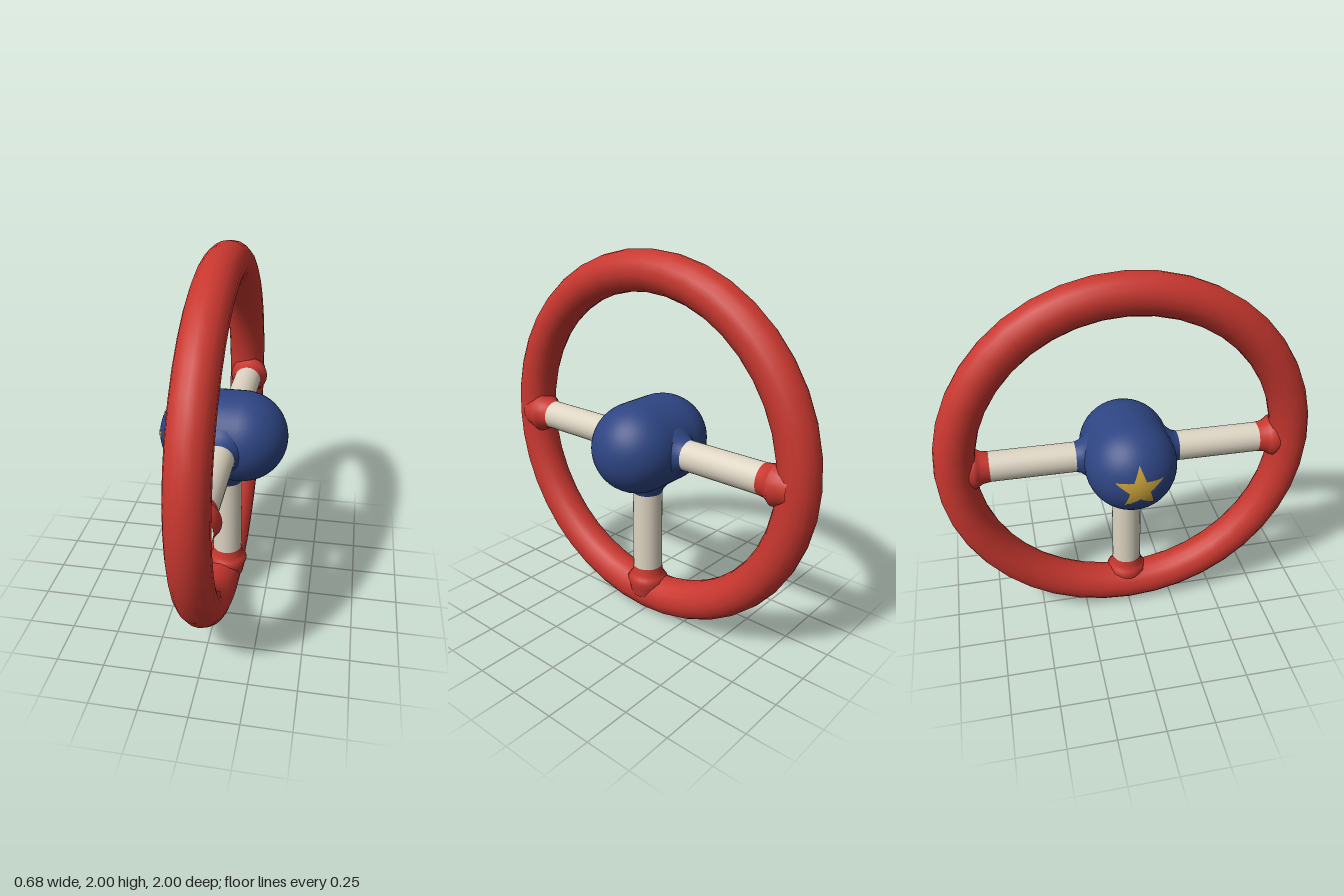
import * as THREE from 'three';

const material = (name, color) => {
  const m = new THREE.MeshStandardMaterial({ color });
  m.name = name;
  return m;
};

export function createModel() {
  const red = material('red', 0xc8372f);
  const blue = material('blue', 0x2e4583);
  const cream = material('cream', 0xddd4c2);
  const gold = material('gold', 0xc9a13a);
  const model = new THREE.Group();
  model.name = 'steeringWheel';

  const add = (parent, name, geometry, mat) => {
    const mesh = new THREE.Mesh(geometry, mat);
    mesh.name = name;
    parent.add(mesh);
    return mesh;
  };

  // Round rim standing in the yz plane
  const rim = add(model, 'rim', new THREE.TorusGeometry(0.895, 0.105, 18, 40).rotateY(Math.PI / 2), red);
  rim.position.set(-0.005, 1, 0);

  // Rounded hub lying along x
  const hub = add(model, 'hub', new THREE.CapsuleGeometry(0.24, 0.2, 14, 40).rotateZ(Math.PI / 2), blue);
  hub.position.y = 1.003;

  // Profiles are [distance from hub centre, radius], outermost point first
  const lathe = (profile) =>
    new THREE.LatheGeometry(profile.map(([d, r]) => new THREE.Vector2(r, -d)), 24);
  const neck = lathe([[0.275, 0.08], [0.25, 0.088], [0.225, 0.108], [0.2, 0.132], [0.17, 0.15]]);
  const bar = lathe([[0.72, 0.08], [0.275, 0.08]]);
  const joint = lathe([[0.89, 0.09], [0.84, 0.1], [0.8, 0.112], [0.78, 0.097], [0.76, 0.086], [0.72, 0.08]]);

  // Three spokes: down, front and back
  const spokes = { lowerSpoke: 0, frontSpoke: -Math.PI / 2, rearSpoke: Math.PI / 2 };
  for (const [name, angle] of Object.entries(spokes)) {
    const spoke = new THREE.Group();
    spoke.name = name;
    add(spoke, 'hubNeck', neck, blue);
    add(spoke, 'spokeBar', bar, cream);
    add(spoke, 'rimJoint', joint, red);
    spoke.position.set(0.02, 1.003, 0);
    spoke.rotation.x = angle;
    model.add(spoke);
  }

  // Five-pointed star wrapped over the hub's -x end
  const star = new THREE.RingGeometry(0.001, 1, 40, 6);
  const corner = (i) => {
    const a = Math.PI / 2 + (i * Math.PI) / 5;
    const r = i % 2 ? 0.055 : 0.13;
    return new THREE.Vector2(Math.cos(a) * r, Math.sin(a) * r);
  };
  const pos = star.attributes.position;
  for (let i = 0; i < pos.count; i++) {
    const k = i % 41;
    const t = Math.floor(i / 41) / 6;
    const side = Math.floor(k / 4);
    const p = corner(side).lerp(corner(side + 1), (k % 4) / 4).multiplyScalar(t);
    pos.setXYZ(i, p.x, p.y, 0.1 + Math.sqrt(0.243 ** 2 - p.lengthSq()));
  }
  star.computeVertexNormals();
  star.rotateY(-Math.PI / 2);
  add(model, 'hubStar', star, gold).position.y = 1.003;

  return model;
}
